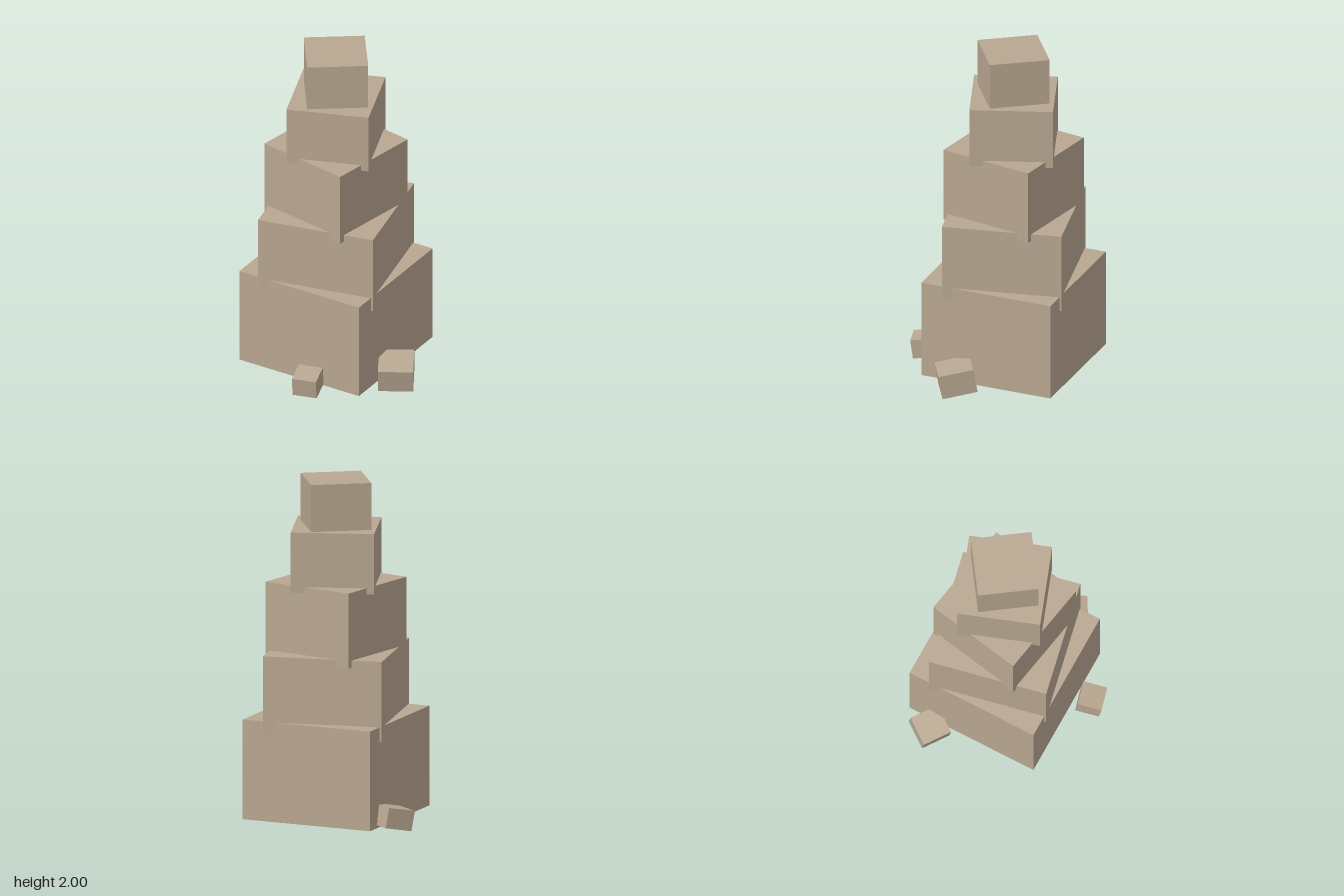
import * as THREE from 'three';

const deg = THREE.MathUtils.degToRad;

export function createModel() {
  const model = new THREE.Group();
  model.name = 'stackedStonePillar';

  const stone = new THREE.MeshStandardMaterial({ color: 0xb8a690 });
  stone.name = 'tan stone';

  function block(name, [w, h, d], [x, y, z], turn, tilt = 0) {
    const mesh = new THREE.Mesh(new THREE.BoxGeometry(w, h, d), stone);
    mesh.name = name;
    mesh.position.set(x, y, z);
    mesh.rotation.set(deg(tilt), deg(turn), 0, 'YXZ'); // tilt first, then turn
    model.add(mesh);
  }

  // Tower: square tiers, each smaller, twisted and sunk a little into the one below
  const tiers = [
    // width, bottom, top, turn
    [0.814, 0.02, 0.61, 0],
    [0.707, 0.525, 0.998, 12],
    [0.588, 0.955, 1.4, -10],
    [0.486, 1.365, 1.722, 20],
    [0.354, 1.69, 2.0, 35],
  ];
  tiers.forEach(([w, bottom, top, turn], i) =>
    block(`tier${i + 1}`, [w, top - bottom, w], [-0.025, (bottom + top) / 2, -0.092], turn));

  // Fallen rocks tipped forward around the base
  block('rightRock', [0.176, 0.12, 0.176], [-0.499, 0.079, -0.33], -35, 11.5);
  block('frontRock', [0.145, 0.116, 0.143], [0.094, 0.08, 0.413], 15, 8);
  block('leftRock', [0.205, 0.144, 0.207], [0.476, 0.094, 0.056], 30, 10);

  return model;
}
